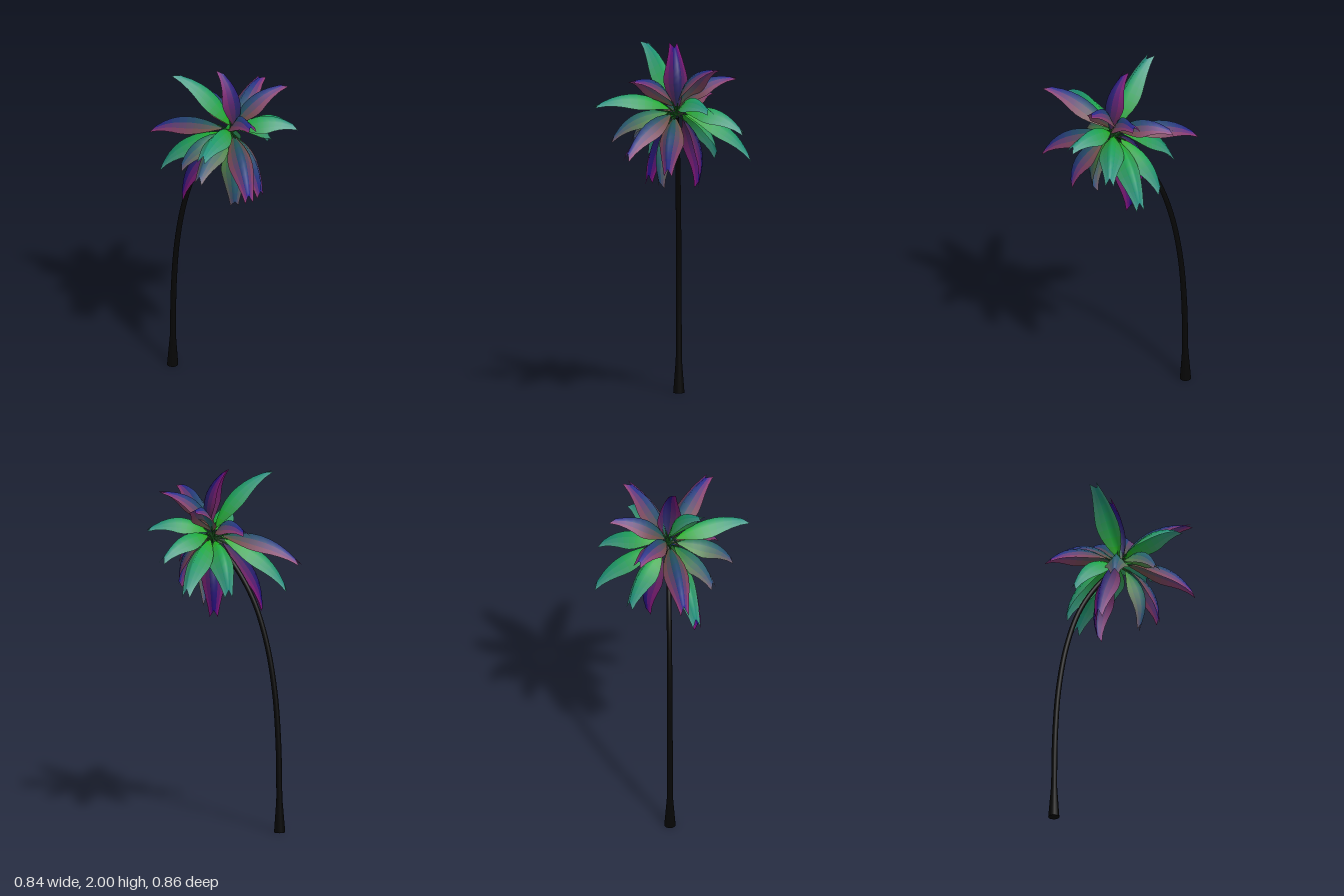
import * as THREE from 'three';

const V = (x, y, z) => new THREE.Vector3(x, y, z);
const mat = (color, side = THREE.FrontSide) => new THREE.MeshStandardMaterial({ color, side });

const CROWN = V(0.08, 1.61, -0.02);

// Tip of each frond: x, y, z, palette
const FRONDS = [
  // upper fronds
  [-0.19, 1.98, 0.17, 'green'], [0.00, 2.00, 0.00, 'violet'], [0.29, 1.89, -0.25, 'purple'],
  [0.04, 1.81, -0.35, 'purple'], [0.41, 1.84, 0.22, 'purple'],
  // level fronds
  [0.39, 1.66, -0.22, 'green'], [0.21, 1.67, 0.43, 'green'], [-0.22, 1.68, -0.20, 'purple'],
  [-0.42, 1.49, 0.06, 'purple'], [0.21, 1.52, -0.40, 'green'], [0.12, 1.46, 0.34, 'teal'],
  // drooping fronds
  [0.41, 1.40, 0.25, 'purple'], [0.04, 1.35, -0.43, 'green'], [-0.30, 1.32, 0.13, 'green'],
  [-0.13, 1.33, -0.24, 'green'], [-0.09, 1.43, 0.23, 'teal'], [0.31, 1.30, 0.02, 'purple'],
  [-0.14, 1.19, 0.14, 'violet'], [0.02, 1.19, -0.13, 'violet'], [0.16, 1.21, 0.06, 'teal'],
];

// Blade colours: rib at base and tip, edge at base and tip
const PALETTES = {
  green: [0x1fb020, 0x1f8a80, 0x2ca030, 0x45998a],
  teal: [0x1c7a40, 0x2f4f80, 0x3f9035, 0x6a5a6a],
  purple: [0x22594e, 0x2a2090, 0x6a5040, 0x8a3575],
  violet: [0x2a2a58, 0x260a80, 0x5a2a50, 0x80127a],
};

// Half width and fold depth of a blade along its length
const WIDTHS = [0.012, 0.043, 0.06, 0.067, 0.068, 0.063, 0.055, 0.045, 0.033, 0.022];
const FOLDS = [0.008, 0.038, 0.06, 0.073, 0.077, 0.073, 0.061, 0.044, 0.024, 0.004];
const ROWS = WIDTHS.length - 1;
const ZONES = 3; // colour strips on each half, from rib to edge

// Arched midrib: the chord is bowed upward in its own vertical plane
function midrib(tip) {
  const chord = tip.clone().sub(CROWN);
  const side = V(chord.z, 0, -chord.x).normalize();
  const up = chord.clone().cross(side).normalize();
  if (up.y < 0) up.negate();
  const control = CROWN.clone().addScaledVector(chord, 0.5).addScaledVector(up, 0.185);
  return { side, curve: new THREE.QuadraticBezierCurve3(CROWN.clone(), control, tip) };
}

// Folded blade with a notched end
function bladeGeometry({ curve, side }) {
  const pos = [], index = [], count = 2 * ZONES + 1;
  const g = new THREE.BufferGeometry();
  for (let i = 0; i <= ROWS; i++) {
    const t = 0.1 + 0.9 * i / ROWS;
    const up = curve.getTangent(t).cross(side).normalize();
    for (let k = 0; k < count; k++) {
      const s = k / ZONES - 1;
      // the last row is drawn back at the rib to form the notch
      const p = curve.getPoint(i === ROWS ? 0.92 + 0.08 * Math.abs(s) : t);
      p.addScaledVector(side, s * WIDTHS[i]).addScaledVector(up, -Math.abs(s) * FOLDS[i]);
      pos.push(p.x, p.y, p.z);
    }
    if (i === ROWS) break;
    // mirrored pair of strips for each colour zone
    for (let zone = 0; zone < ZONES; zone++) {
      g.addGroup(index.length, 12, i * ZONES + zone);
      for (const k of [ZONES - 1 - zone, ZONES + zone]) {
        const a = i * count + k, b = a + count;
        index.push(a, a + 1, b, a + 1, b + 1, b);
      }
    }
  }
  g.setAttribute('position', new THREE.Float32BufferAttribute(pos, 3));
  g.setIndex(index);
  g.computeVertexNormals();
  return g;
}

// One material per row and zone, fading from base to tip and rib to edge
function bladeMaterials(palette) {
  const [rib0, rib1, edge0, edge1] = palette.map(c => new THREE.Color(c));
  const list = [];
  for (let i = 0; i < ROWS; i++) {
    const t = i / (ROWS - 1);
    const rib = rib0.clone().lerp(rib1, t), edge = edge0.clone().lerp(edge1, t);
    for (let zone = 0; zone < ZONES; zone++) {
      list.push(mat(rib.clone().lerp(edge, zone / (ZONES - 1)), THREE.DoubleSide));
    }
  }
  return list;
}

// Curved trunk: a tube whose radius follows a rule
function trunkGeometry() {
  const path = new THREE.CatmullRomCurve3([
    V(-0.33, 0, -0.02), V(-0.328, 0.2, -0.02), V(-0.322, 0.5, -0.02), V(-0.30, 0.78, -0.02),
    V(-0.25, 1.05, -0.02), V(-0.17, 1.28, -0.02), V(-0.05, 1.47, -0.02), V(0.08, 1.6, -0.02),
  ]);
  const rows = 48, sides = 16;
  const g = new THREE.TubeGeometry(path, rows, 1, sides);
  const p = g.attributes.position, v = V(0, 0, 0);
  for (let i = 0; i < p.count; i++) {
    const t = Math.floor(i / (sides + 1)) / rows;
    const c = path.getPointAt(t);
    const r = 0.017 - 0.004 * t + 0.014 * Math.max(0, 1 - t / 0.11);
    v.fromBufferAttribute(p, i).sub(c).multiplyScalar(r).add(c);
    p.setXYZ(i, v.x, Math.max(0, v.y), v.z);
  }
  return g;
}

export function createModel() {
  const model = new THREE.Group();
  model.name = 'palmTree';
  const add = (name, geometry, material, parent = model) => {
    const m = new THREE.Mesh(geometry, material);
    m.name = name;
    parent.add(m);
    return m;
  };

  // Trunk and its underside
  const bark = mat(0x060606);
  add('trunk', trunkGeometry(), bark);
  const base = add('trunkBase', new THREE.CircleGeometry(0.031, 16), bark);
  base.rotation.x = Math.PI / 2;
  base.position.set(-0.33, 0, -0.02);

  // Crown of fronds, each a thin stalk and a blade
  const stalkMat = mat(0x1c6a24);
  const bladeMats = {};
  for (const key in PALETTES) bladeMats[key] = bladeMaterials(PALETTES[key]);
  const crown = new THREE.Group();
  crown.name = 'crown';
  model.add(crown);
  for (const [x, y, z, palette] of FRONDS) {
    const frond = new THREE.Group();
    frond.name = 'frond';
    crown.add(frond);
    const rib = midrib(V(x, y, z));
    const stalk = new THREE.CatmullRomCurve3([0, 0.05, 0.1, 0.15].map(t => rib.curve.getPoint(t)));
    add('stalk', new THREE.TubeGeometry(stalk, 4, 0.004, 5), stalkMat, frond);
    add('blade', bladeGeometry(rib), bladeMats[palette], frond);
  }
  return model;
}
